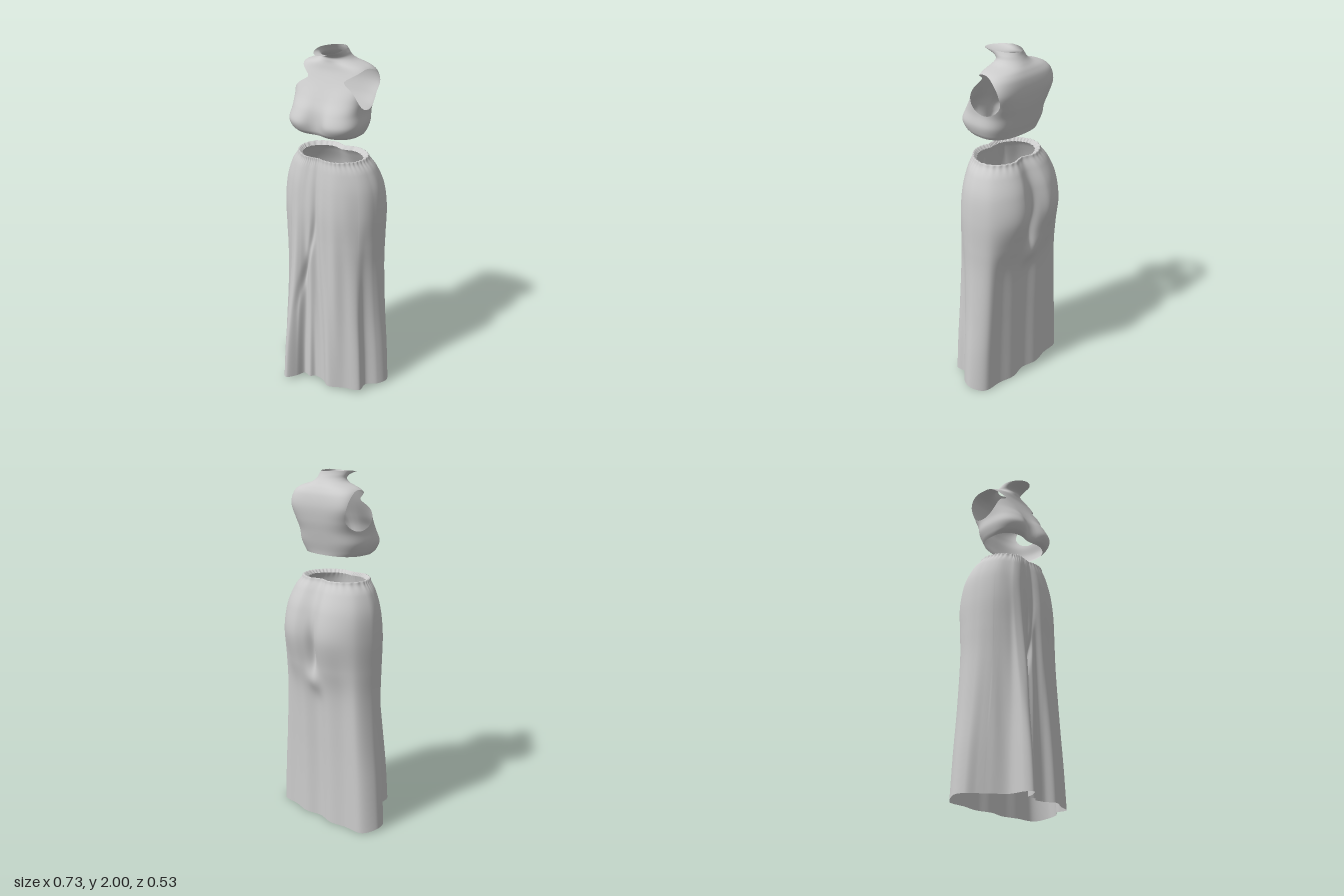
import * as THREE from 'three';
import { mergeVertices } from 'three/addons/utils/BufferGeometryUtils.js';

const fabric = new THREE.MeshStandardMaterial({ color: 0xcccccc, side: THREE.DoubleSide });
fabric.name = 'greyFabric';

const lerp = THREE.MathUtils.lerp;
const bell = (v, w) => Math.exp(-(v * v) / (w * w));

// Smooth interpolation through rows of numbers, t in row units
function sample(keys, t, closed = false) {
  const n = keys.length, i = closed ? Math.floor(t) : Math.min(Math.floor(t), n - 2), f = t - i;
  const at = k => keys[closed ? (k + n) % n : Math.min(Math.max(k, 0), n - 1)];
  const [a, b, c, d] = [at(i - 1), at(i), at(i + 1), at(i + 2)];
  return b.map((q, k) => 0.5 * (2 * q + (c[k] - a[k]) * f +
    (2 * a[k] - 5 * q + 4 * c[k] - d[k]) * f * f + (3 * q - a[k] - 3 * c[k] + d[k]) * f * f * f));
}

// Triangle soup from a point grid; keeps only the side where cut(p) > 0
function loft(point, around, rows, cut = () => 1) {
  const out = [];
  const clip = tri => {
    const poly = [];
    tri.forEach((p, i) => {
      const q = tri[(i + 1) % 3], a = cut(p), b = cut(q);
      if (a > 0) poly.push(p);
      if (a > 0 !== b > 0) poly.push(p.clone().lerp(q, a / (a - b)));
    });
    for (let i = 1; i < poly.length - 1; i++)
      for (const p of [poly[0], poly[i], poly[i + 1]]) out.push(p.x, p.y, p.z);
  };
  const grid = [];
  for (let j = 0; j <= rows; j++) {
    grid.push([]);
    for (let i = 0; i < around; i++) grid[j].push(point(i / around, j / rows));
  }
  for (let j = 0; j < rows; j++) for (let i = 0; i < around; i++) {
    const k = (i + 1) % around;
    const a = grid[j][i], b = grid[j][k], c = grid[j + 1][k], d = grid[j + 1][i];
    clip([a, b, c]);
    clip([a, c, d]);
  }
  const g = new THREE.BufferGeometry();
  g.setAttribute('position', new THREE.Float32BufferAttribute(out, 3));
  const merged = mergeVertices(g, 1e-5);
  merged.computeVertexNormals();
  return merged;
}

// Top: y, half width, front z, back z, squareness, hollow between the bust, front drop
const topRows = [
  [1.562, 0.185, 0.130, -0.145, 2.6, 0.020, 0],
  [1.585, 0.200, 0.155, -0.150, 2.8, 0.035, 0],
  [1.63, 0.212, 0.168, -0.163, 3.0, 0.048, 0],
  [1.69, 0.206, 0.142, -0.178, 3.0, 0.030, 0],
  [1.75, 0.212, 0.098, -0.192, 3.4, 0.010, 0],
  [1.82, 0.223, 0.055, -0.200, 4.0, 0, 0],
  [1.88, 0.215, 0.028, -0.192, 3.4, 0, 0],
  [1.915, 0.185, 0.018, -0.175, 2.7, 0, 0],
  [1.94, 0.110, 0.014, -0.155, 2.2, 0, 0],
  [1.96, 0.083, 0.016, -0.140, 2, 0, 0],
  [1.982, 0.075, 0.045, -0.128, 2, 0, 0.006],
  [2.0, 0.072, 0.110, -0.122, 2, 0, 0.014],
];

function topPoint(u, v) {
  const [y, w, zf, zb, n, hollow, drop] = sample(topRows, v * (topRows.length - 1));
  const a = -u * Math.PI * 2, c = Math.cos(a), s = Math.sin(a);
  const pow = q => Math.sign(q) * Math.pow(Math.abs(q), 2 / n);
  const x = w * pow(c), front = Math.max(s, 0);
  const z = (zf + zb) / 2 + (zf - zb) / 2 * pow(s) - hollow * bell(x, 0.06) * front;
  return new THREE.Vector3(x, y - drop * front, z);
}

// Rounded arm openings on both sides
const armhole = p => Math.abs(p.x) < 0.1 ? 1 :
  Math.hypot((p.z + 0.06) / 0.108, (p.y - 1.805) / 0.106) - 1;

// Skirt outlines (x, z) at hips and hem, from the left side round the front
const hip = [[.303, -.07], [.295, 0], [.275, .05], [.24, .09], [.18, .135], [.12, .155], [.06, .155],
  [.01, .145], [-.03, .15], [-.06, .15], [-.09, .155], [-.12, .155], [-.155, .145], [-.18, .13],
  [-.235, .095], [-.27, .055], [-.295, 0], [-.303, -.07], [-.27, -.17], [-.19, -.24], [-.1, -.265],
  [0, -.235], [.1, -.265], [.19, -.24], [.27, -.17]];
const hem = [[.365, -.08], [.345, -.01], [.29, .04], [.29, .11], [.2, .145], [.12, .185], [.06, .155],
  [0, .145], [-.03, .17], [-.075, .16], [-.1, .215], [-.14, .262], [-.175, .23], [-.19, .14],
  [-.26, .075], [-.31, .03], [-.355, -.01], [-.365, -.08], [-.31, -.155], [-.2, -.165], [-.1, -.185],
  [0, -.165], [.1, -.185], [.2, -.165], [.31, -.155]];

// y, width scale, front scale, back scale, hem blend in front, hem blend behind
const skirtRows = [
  [0.02, 1, 1, 1, 1, 1],
  [0.25, 0.98, 1, 1, 0.85, 1],
  [0.5, 0.955, 1, 1, 0.6, 0.95],
  [0.78, 0.955, 1, 1, 0.28, 0.8],
  [0.95, 0.98, 1, 1, 0.12, 0.4],
  [1.12, 1, 1, 1, 0, 0],
  [1.26, 0.95, 0.93, 0.92, 0, 0],
  [1.36, 0.83, 0.84, 0.76, 0, 0],
  [1.41, 0.71, 0.77, 0.64, 0, 0],
  [1.43, 0.67, 0.74, 0.6, 0, 0],
  [1.412, 0.60, 0.62, 0.5, 0, 0],
];

function skirtPoint(u, v) {
  const t = v * (skirtRows.length - 1);
  let [y, sx, sf, sb, bf, bb] = sample(skirtRows, t);
  const k = u * hip.length, h = sample(hip, k, true), m = sample(hem, k, true);
  let x = lerp(h[0], m[0], bf) * sx;
  const back = THREE.MathUtils.smoothstep(-h[1], 0.03, 0.17);
  let z = lerp(h[1], m[1], lerp(bf, bb, back)) * (h[1] > 0 ? sf : sb);
  if (h[1] > 0.08) {
    // Fine drape and the slanting crease in front
    const fade = bell(y - 0.65, 0.5) * bell(x, 0.22);
    z += 0.005 * fade * Math.sin(75 * x + 4 * y);
    z -= 0.014 * bell(x + 0.1 * (1 - THREE.MathUtils.smoothstep(y, 0.45, 1.15)), 0.014) * bell(y - 0.8, 0.4);
  } else if (h[1] < -0.15) {
    // Seat crease and the sagging pocket under it
    z += 0.025 * bell(x, 0.025) * bell(y - 1.05, 0.13);
    z -= 0.03 * bell(x, 0.055) * bell(y - 0.86, 0.07);
  }
  // Gathers at the waistband
  const gather = THREE.MathUtils.smoothstep(t, 7, 9);
  const r = 1 + 0.014 * gather * Math.sin(u * Math.PI * 2 * 46 + Math.sin(u * 40));
  y -= 0.018 * back * (1 - THREE.MathUtils.smoothstep(y, 0, 0.3));
  return new THREE.Vector3(x * r, y, (z + 0.02) * r - 0.02);
}

export function createModel() {
  const group = new THREE.Group();
  const add = (name, geometry) => {
    const mesh = new THREE.Mesh(geometry, fabric);
    mesh.name = name;
    group.add(mesh);
  };
  add('sleevelessTop', loft(topPoint, 128, 88, armhole));
  // Reversed direction keeps the outer face outward
  add('longSkirt', loft((u, v) => skirtPoint((1 - u) % 1, v), 400, 100));
  // Both lofts must turn the same way round
  group.children.forEach((mesh, i) => {
    if (i === 0) return;
    const g = mesh.geometry, p = g.attributes.position, n = g.attributes.normal;
    let sum = 0;
    for (let j = 0; j < p.count; j++) sum += p.getX(j) * n.getX(j);
    if (sum < 0) {
      g.index.array.reverse();
      g.computeVertexNormals();
    }
  });
  // Top winding: turn faces outward
  const top = group.children[0].geometry, p = top.attributes.position, n = top.attributes.normal;
  let sum = 0;
  for (let j = 0; j < p.count; j++) sum += p.getX(j) * n.getX(j);
  if (sum < 0) {
    top.index.array.reverse();
    top.computeVertexNormals();
  }
  return group;
}
